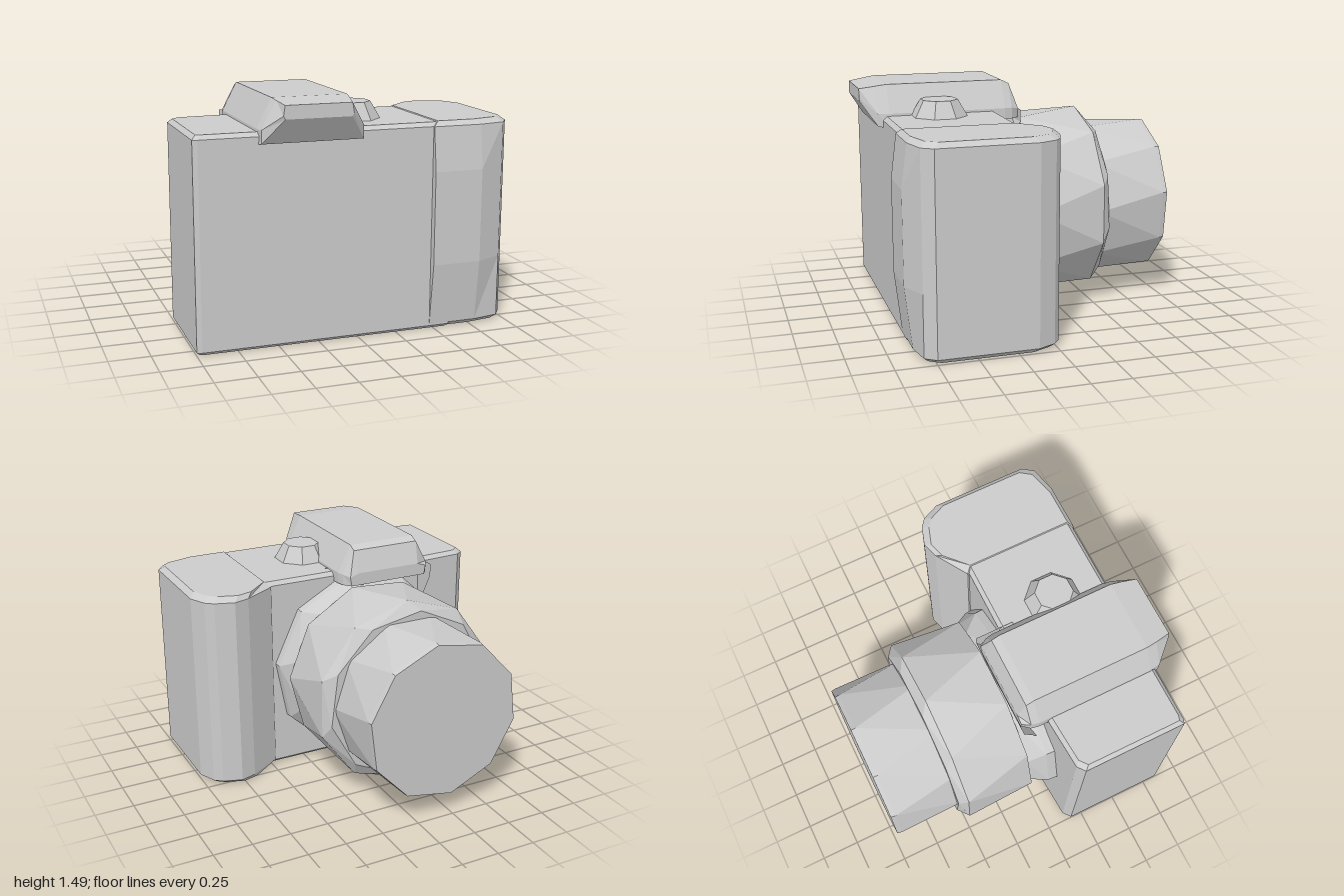
import * as THREE from 'three';

const material = new THREE.MeshStandardMaterial({ color: 0xcccccc, flatShading: true });

// Closed loft through convex rings, counter-clockwise seen from the end of the axis
function loft(rings) {
  const n = rings[0].length, last = (rings.length - 1) * n, index = [];
  for (let i = 0; i < rings.length - 1; i++) {
    for (let j = 0; j < n; j++) {
      const a = i * n + j, b = i * n + (j + 1) % n;
      index.push(a, b, b + n, a, b + n, a + n);
    }
  }
  for (let j = 1; j < n - 1; j++) {
    index.push(0, j + 1, j, last, last + j, last + j + 1);
  }
  const geometry = new THREE.BufferGeometry();
  geometry.setAttribute('position', new THREE.Float32BufferAttribute(rings.flat(2), 3));
  geometry.setIndex(index);
  const flat = geometry.toNonIndexed();
  flat.computeVertexNormals();
  return flat;
}

// Ring in the ground plane at height y, shrunk by inset towards its middle
function levelRing(outline, y, inset, cx, cz) {
  return outline.map(([x, z]) => [x - Math.sign(x - cx) * inset, y, z - Math.sign(z - cz) * inset]);
}

// Polygon ring across the lens axis
function lensRing(z, r, twist) {
  return Array.from({ length: 10 }, (_, i) => {
    const t = (i + twist) / 10 * Math.PI * 2;
    return [-0.18 + r * Math.cos(t), 0.65 + r * Math.sin(t), z];
  });
}

export function createModel() {
  const group = new THREE.Group();
  const add = (name, geometry) => {
    const mesh = new THREE.Mesh(geometry, material);
    mesh.name = name;
    group.add(mesh);
    return mesh;
  };

  // Main body with small chamfers
  const bodyOutline = [[-1, 0.84], [-0.97, 0.85], [0.6, 0.85], [0.6, 0.11], [-0.64, 0.11], [-0.95, 0.13], [-1, 0.17]];
  add('body', loft([[0, 0.02], [0.02, 0], [1.27, 0], [1.295, 0.025]]
    .map(([y, inset]) => levelRing(bodyOutline, y, inset, -0.2, 0.48))));

  // Hand grip, bulging at the back around mid height
  const gripRings = [[0, 0.03, 0.845], [0.03, 0, 0.85], [0.42, 0, 0.895], [1, 0, 0.895], [1.27, 0, 0.86], [1.3, 0.035, 0.865]];
  add('grip', loft(gripRings.map(([y, inset, back]) => levelRing([
    [0.47, back], [0.78, back], [0.95, 0.82], [1, 0.75], [1, 0.13], [0.95, 0.02],
    [0.9, -0.02], [0.78, -0.06], [0.68, -0.03], [0.47, 0.1],
  ], y, inset, 0.5, 0.48))));

  // Viewfinder hump: z, then half width and height of bottom, middle and top
  const humpSections = [
    [-0.05, 0.27, 1.24, 0.28, 1.3, 0.22, 1.32],
    [0.0, 0.31, 1.24, 0.31, 1.31, 0.23, 1.46],
    [0.05, 0.32, 1.24, 0.32, 1.31, 0.23, 1.485],
    [0.81, 0.33, 1.22, 0.32, 1.31, 0.23, 1.485],
    [0.88, 0.31, 1.23, 0.31, 1.31, 0.22, 1.475],
    [0.98, 0.2, 1.38, 0.21, 1.4, 0.2, 1.46],
  ];
  const hump = add('viewfinderHump', loft(humpSections.map(([z, bw, by, mw, my, tw, ty]) => [
    [-bw, by, z], [bw, by, z], [mw, my, z], [tw, ty, z], [-tw, ty, z], [-mw, my, z],
  ])));
  hump.position.x = -0.3;

  // Sloping shoulder between hump and lens mount
  add('shoulder', loft([-0.62, 0.04].map((x) => [
    [x, 0.95, 0.2], [x, 1.3, 0.2], [x, 1.3, -0.05], [x, 1.22, -0.05], [x, 0.95, 0.1],
  ])));

  // Lens: front barrel, wide zoom ring and flared mount
  add('frontBarrel', loft([lensRing(-0.98, 0.515, 0.3), lensRing(-0.95, 0.52, 0.3), lensRing(-0.5, 0.525, 0)]));
  add('zoomRing', loft([lensRing(-0.555, 0.56, 0.7), lensRing(-0.5, 0.62, 0.5), lensRing(-0.055, 0.605, 0.1)]));
  add('lensMount', loft([lensRing(-0.06, 0.56, 0.4), lensRing(0.06, 0.63, 0.2), lensRing(0.2, 0.64, 0.2)]));

  // Control dial
  const dial = add('dial', new THREE.CylinderGeometry(0.12, 0.19, 0.12, 8));
  dial.position.set(0.07, 1.34, 0.5);
  dial.rotation.y = Math.PI / 8;

  return group;
}
